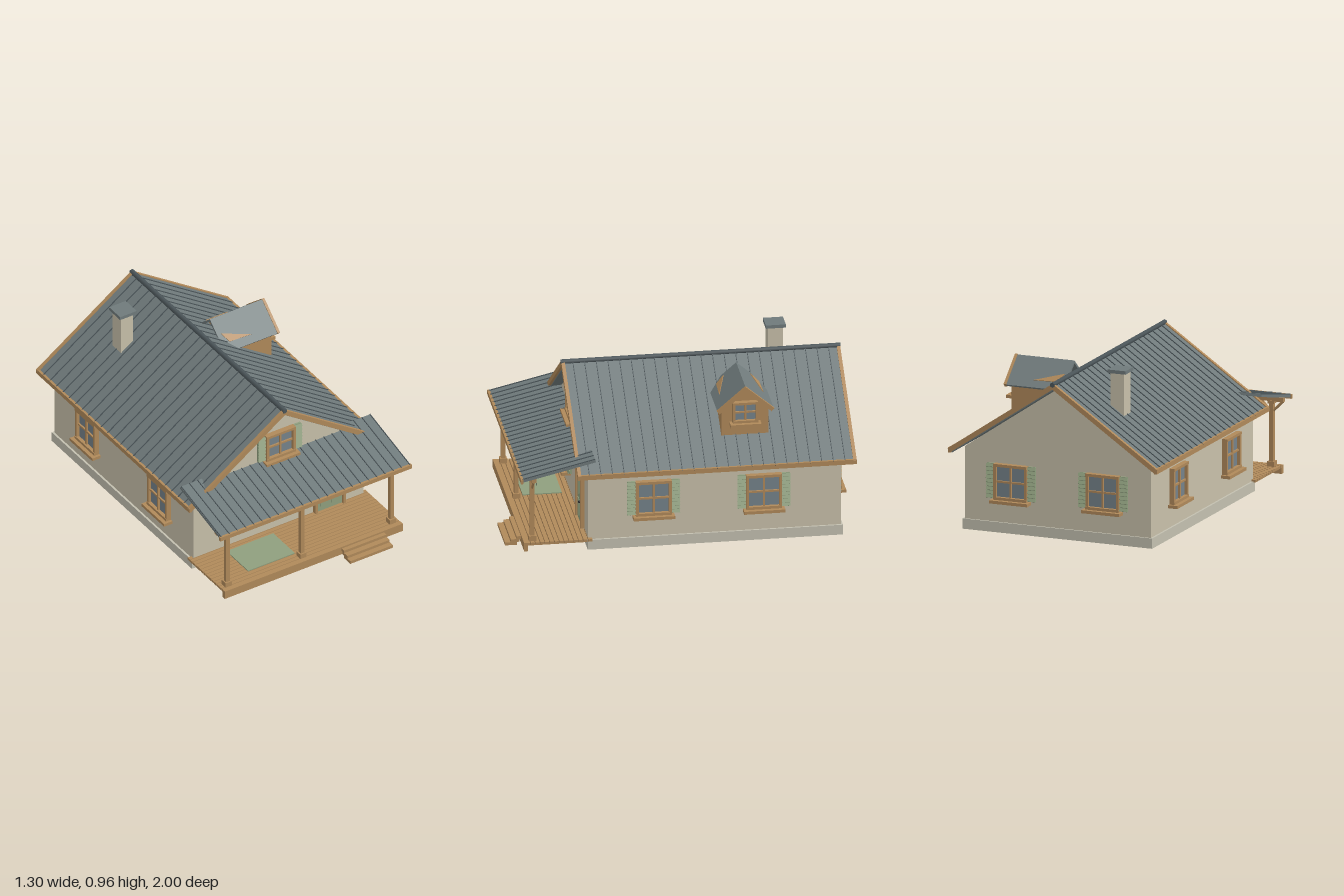
import * as THREE from 'three';

const mat = (name, color) => {
  const m = new THREE.MeshStandardMaterial({ color });
  m.name = name;
  return m;
};

export function createModel() {
  const house = new THREE.Group();
  house.name = 'cottage';
  const wall = mat('cream wall', 0xc8c0aa), stone = mat('foundation', 0xc3c0b0);
  const wood = mat('wood', 0xb0895a), roof = mat('roof metal', 0x6f7a7b);
  const seam = mat('dark seam', 0x4c565a), green = mat('sage green', 0x8f9f7e);
  const glass = mat('window glass', 0x75828a), black = mat('black iron', 0x2c2c30);

  const add = (parent, name, geo, m) => {
    const mesh = new THREE.Mesh(geo, m);
    mesh.name = name;
    parent.add(mesh);
    return mesh;
  };
  // box given by its limits
  const box = (parent, name, m, x0, x1, y0, y1, z0, z1) => {
    const b = add(parent, name, new THREE.BoxGeometry(x1 - x0, y1 - y0, z1 - z0), m);
    b.position.set((x0 + x1) / 2, (y0 + y1) / 2, (z0 + z1) / 2);
    return b;
  };
  const group = (parent, name, x = 0, y = 0, z = 0, yaw = 0) => {
    const g = new THREE.Group();
    g.name = name;
    g.position.set(x, y, z);
    g.rotation.y = yaw;
    parent.add(g);
    return g;
  };
  // sloped frame: local x runs downhill, local y is the slope normal
  const slope = (parent, name, x, y, z, yaw, angle) => {
    const g = group(parent, name, x, y, z);
    g.rotation.set(0, yaw, -angle, 'YXZ');
    return g;
  };
  // round or square bar between two points
  const bar = (parent, name, m, p, q, r, sides) => {
    const a = new THREE.Vector3(...p), b = new THREE.Vector3(...q), d = b.clone().sub(a);
    const mesh = add(parent, name, new THREE.CylinderGeometry(r, r, d.length(), sides), m);
    mesh.position.copy(a).add(b).multiplyScalar(0.5);
    mesh.quaternion.setFromUnitVectors(new THREE.Vector3(0, 1, 0), d.normalize());
    return mesh;
  };
  // gabled prism running along z
  const gabled = (parent, name, m, half, y0, yEave, yPeak, z0, z1) => {
    const s = new THREE.Shape([[-half, y0], [half, y0], [half, yEave], [0, yPeak], [-half, yEave]]
      .map(p => new THREE.Vector2(...p)));
    const mesh = add(parent, name, new THREE.ExtrudeGeometry(s, { depth: z1 - z0, bevelEnabled: false }), m);
    mesh.position.z = z0;
    return mesh;
  };

  // body
  box(house, 'foundation', stone, -0.587, 0.587, 0, 0.06, -0.925, 0.54);
  gabled(house, 'walls', wall, 0.575, 0.06, 0.483, 0.875, -0.915, 0.537);

  // main roof
  const pitch = Math.atan(0.68), run = 0.645 / Math.cos(pitch);
  for (const s of [1, -1]) {
    const g = slope(house, 'mainRoofSlope', 0, 0.915, -0.195, s > 0 ? 0 : Math.PI, pitch);
    box(g, 'roofPanel', roof, 0, run, -0.028, 0, -0.785, 0.785);
    for (let i = 1; i < 24; i++) {
      const z = -0.8 + i * 1.6 / 24;
      box(g, 'roofSeam', seam, 0, run, 0, 0.005, z - 0.002, z + 0.002);
    }
    for (const e of [1, -1]) {
      const z = e * 0.79;
      box(g, 'rakeBoard', wood, 0, run, -0.022, 0.006, z - 0.01, z + 0.01);
    }
    box(house, 'eaveFascia', wood, Math.min(s * 0.63, s * 0.647), Math.max(s * 0.63, s * 0.647),
      0.457, 0.485, -0.995, 0.605);
  }
  bar(house, 'ridgeCap', seam, [0, 0.915, -0.997], [0, 0.915, 0.607], 0.015, 6);

  // chimney
  box(house, 'chimney', wall, -0.318, -0.235, 0.6, 0.945, -0.705, -0.617);
  box(house, 'chimneyCap', roof, -0.332, -0.22, 0.945, 0.965, -0.718, -0.603);

  // window facing local +z, with optional louvred shutters
  const windowUnit = (parent, x, y, z, yaw, w, h, shutters, t = 0.016) => {
    const g = group(parent, 'window', x, y, z, yaw);
    const W = w / 2, H = h / 2, m = t * 0.35;
    box(g, 'glass', glass, -W + 0.005, W - 0.005, -H + 0.005, H - 0.005, 0.004, 0.012);
    for (const s of [1, -1]) {
      const x0 = s * (W - t / 2), y0 = s * (H - t / 2);
      box(g, 'frameSide', wood, x0 - t / 2, x0 + t / 2, -H, H, -0.005, 0.03);
      box(g, 'frameRail', wood, -W, W, y0 - t / 2, y0 + t / 2, -0.005, 0.033);
    }
    box(g, 'mullion', wood, -m, m, -H, H, 0, 0.024);
    box(g, 'crossBar', wood, -W, W, -m, m, 0, 0.022);
    box(g, 'sill', wood, -W - 0.016, W + 0.016, -H - 0.018, -H, -0.005, 0.056);
    if (!shutters) return;
    for (const s of [1, -1]) {
      const sh = group(g, 'shutter', s * (W + 0.025), 0, 0);
      box(sh, 'shutterBoard', green, -0.022, 0.022, -H + 0.004, H - 0.002, 0, 0.012);
      const n = Math.round(h / 0.023);
      for (let i = 0; i < n; i++) {
        const slat = add(sh, 'shutterSlat', new THREE.BoxGeometry(0.049, 0.019, 0.006), green);
        slat.position.set(0, -H + 0.004 + (i + 0.5) * (h - 0.006) / n, 0.017);
        slat.rotation.x = -0.45;
      }
    }
  };
  windowUnit(house, -0.21, 0.30, 0.537, 0, 0.25, 0.21, true);
  windowUnit(house, 0, 0.66, 0.537, 0, 0.195, 0.172, true);
  for (const z of [0.163, -0.47]) windowUnit(house, 0.575, 0.3, z, Math.PI / 2, 0.205, 0.21, true);
  for (const z of [0.2, -0.55]) windowUnit(house, -0.575, 0.3, z, -Math.PI / 2, 0.205, 0.21, false);
  for (const x of [0.285, -0.285]) windowUnit(house, x, 0.3, -0.915, Math.PI, 0.205, 0.21, true);

  // dormer, built facing +z and turned toward +x
  const dormer = group(house, 'dormer', 0, 0, -0.38, Math.PI / 2);
  gabled(dormer, 'dormerWalls', wood, 0.135, 0.59, 0.768, 0.884, 0.2, 0.46);
  const dPitch = Math.atan(0.86), dRun = 0.162 / Math.cos(dPitch);
  for (const s of [1, -1]) {
    const g = slope(dormer, 'dormerRoofSlope', 0, 0.904, 0, s > 0 ? 0 : Math.PI, dPitch);
    const part = (name, m, d0, d1, n0, n1, z0, z1) =>
      box(g, name, m, d0, d1, n0, n1, s > 0 ? z0 : -z1, s > 0 ? z1 : -z0);
    part('dormerRoofUpper', roof, 0, 0.16, -0.013, 0, 0.13, 0.485);
    part('dormerRoofLower', roof, 0.16, dRun, -0.013, 0, 0.17, 0.485);
    part('dormerRake', wood, 0, dRun, -0.02, 0.004, 0.482, 0.498);
    // tapered wooden flashing on the slope
    const f = new THREE.Shape([[0.1, -0.155 * s], [0.16, -0.185 * s], [0.165, -0.33 * s]]
      .map(p => new THREE.Vector2(...p)));
    const flash = add(g, 'dormerFlashing', new THREE.ExtrudeGeometry(f, { depth: 0.004, bevelEnabled: false }), wood);
    flash.rotation.x = -Math.PI / 2;
  }
  windowUnit(dormer, 0, 0.747, 0.46, 0, 0.145, 0.125, false, 0.014);

  // porch deck with boards, rim and steps
  const porch = group(house, 'porch');
  const boards = 14, bw = 0.385 / boards;
  for (let i = 0; i < boards; i++) {
    const z = 0.515 + i * bw;
    box(porch, 'deckBoard', wood, -0.6, 0.6, 0.055, 0.07, z, z + bw - 0.004);
  }
  box(porch, 'deckRim', wood, -0.602, 0.602, 0.02, 0.071, 0.885, 0.907);
  for (const x of [-0.57, 0, 0.57]) box(porch, 'deckJoist', wood, x - 0.01, x + 0.01, 0.045, 0.056, 0.52, 0.89);
  [[0.93, 0.998, 0.008, 0.026], [0.915, 0.965, 0.026, 0.043], [0.9, 0.932, 0.043, 0.06]].forEach(([z0, z1, y0, y1]) =>
    box(porch, 'step', wood, 0.188, 0.475, y0, y1, z0, z1));
  box(porch, 'rug', green, -0.385, -0.07, 0.07, 0.076, 0.59, 0.815);

  // posts, braces and beam
  for (const x of [-0.555, -0.05, 0.555]) {
    const p = group(porch, 'post', x, 0, 0.855);
    box(p, 'postShaft', wood, -0.0125, 0.0125, 0.07, 0.455, -0.0125, 0.0125);
    box(p, 'postBase', wood, -0.021, 0.021, 0.07, 0.1, -0.021, 0.021);
    box(p, 'postCap', wood, -0.019, 0.019, 0.438, 0.455, -0.019, 0.019);
    for (const s of [1, -1])
      bar(p, 'brace', wood, [s * 0.008, 0.395, 0], [s * 0.07, 0.455, 0], 0.008, 4);
  }
  box(porch, 'porchBeam', wood, -0.63, 0.63, 0.452, 0.477, 0.84, 0.87);

  // porch roof
  const pPitch = Math.atan(0.235), pRun = 0.42 / Math.cos(pPitch);
  const pr = slope(porch, 'porchRoof', 0, 0.578, 0.505, -Math.PI / 2, pPitch);
  box(pr, 'porchRoofPanel', roof, 0, pRun, -0.016, 0, -0.642, 0.642);
  for (let i = 0; i <= 23; i++) {
    const x = -0.638 + i * 1.276 / 23;
    box(pr, 'porchRoofSeam', seam, 0, pRun, 0, 0.005, x - 0.002, x + 0.002);
  }
  box(porch, 'porchFascia', wood, -0.648, 0.648, 0.457, 0.482, 0.917, 0.932);

  // hanging iron hooks
  for (const x of [-0.435, 0.435])
    for (const s of [1, -1])
      bar(porch, 'hangingHook', black, [x + s * 0.004, 0.49, 0.815], [x + s * 0.018, 0.36, 0.815], 0.0022, 6);

  // front door
  const door = group(house, 'door', 0.3375, 0, 0.537);
  box(door, 'doorLeaf', green, -0.085, 0.085, 0.072, 0.385, 0, 0.012);
  for (const s of [1, -1]) {
    box(door, 'doorJamb', wood, s * 0.094 - 0.009, s * 0.094 + 0.009, 0.07, 0.4, -0.005, 0.024);
    for (const [y0, y1] of [[0.1, 0.2], [0.235, 0.36]])
      box(door, 'doorPanel', green, s * 0.037 - 0.026, s * 0.037 + 0.026, y0, y1, 0.012, 0.016);
  }
  box(door, 'doorHead', wood, -0.106, 0.106, 0.385, 0.405, -0.005, 0.027);
  add(door, 'doorKnob', new THREE.SphereGeometry(0.008, 12, 8), black).position.set(0.055, 0.215, 0.022);

  return house;
}
